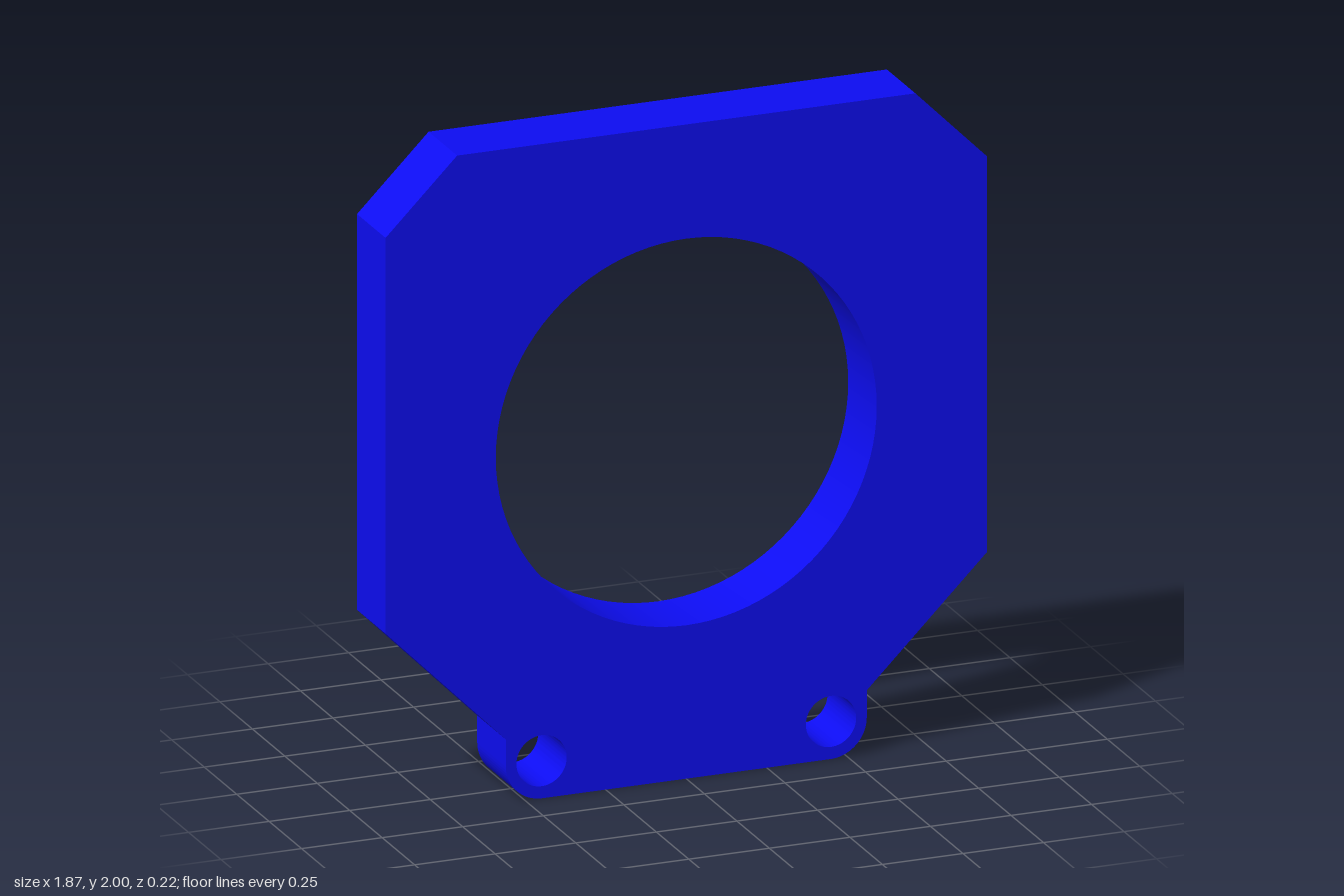
import * as THREE from 'three';
import { toCreasedNormals } from 'three/addons/utils/BufferGeometryUtils.js';

const DEPTH = 0.22;

function roundHole(x, y, r) {
  return new THREE.Path().absarc(x, y, r, 0, Math.PI * 2, true);
}

export function createModel() {
  const group = new THREE.Group();
  group.name = 'mountingPlate';

  // Outline: chamfered plate with a narrower foot that has rounded lower corners
  const outline = new THREE.Shape();
  outline.moveTo(-0.447, 0);
  outline.lineTo(0.447, 0);
  outline.absarc(0.447, 0.113, 0.113, -Math.PI / 2, 0, false);
  outline.lineTo(0.56, 0.195);
  outline.lineTo(0.933, 0.568);
  outline.lineTo(0.933, 1.778);
  outline.lineTo(0.711, 2);
  outline.lineTo(-0.711, 2);
  outline.lineTo(-0.933, 1.778);
  outline.lineTo(-0.933, 0.568);
  outline.lineTo(-0.56, 0.195);
  outline.lineTo(-0.56, 0.113);
  outline.absarc(-0.447, 0.113, 0.113, Math.PI, Math.PI * 1.5, false);

  // Large central bore and two small bolt holes in the foot
  outline.holes.push(roundHole(0, 1.06, 0.591));
  for (const side of [-1, 1]) outline.holes.push(roundHole(side * 0.449, 0.115, 0.078));

  const extruded = new THREE.ExtrudeGeometry(outline, {
    depth: DEPTH, bevelEnabled: false, curveSegments: 48,
  });
  extruded.translate(0, 0, -DEPTH / 2);

  const plate = new THREE.Mesh(
    toCreasedNormals(extruded, Math.PI / 6),
    new THREE.MeshStandardMaterial({ color: 0x0d0df2 })
  );
  plate.name = 'plate';
  group.add(plate);
  return group;
}
